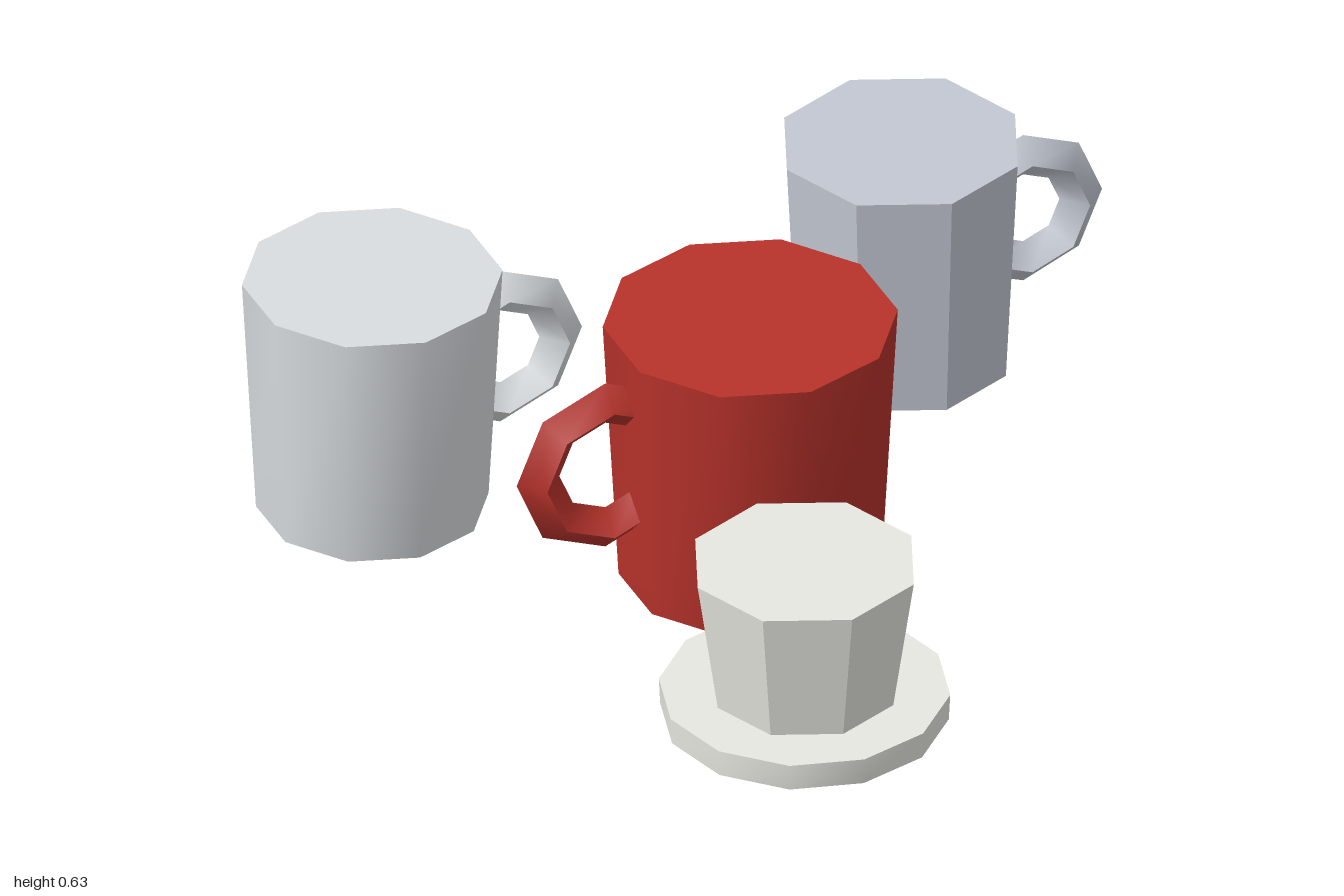
import * as THREE from 'three';
import { toCreasedNormals } from 'three/addons/utils/BufferGeometryUtils.js';

const CREASE = THREE.MathUtils.degToRad(40);

// Mesh with smooth normals across shallow angles and sharp edges elsewhere
function part(name, geometry, material, x, y, z) {
  const mesh = new THREE.Mesh(toCreasedNormals(geometry, CREASE), material);
  mesh.name = name;
  mesh.position.set(x, y, z);
  return mesh;
}

// Tapered solid standing on its base at height y
function body(name, rTop, rBottom, height, sides, material, y = 0) {
  const geometry = new THREE.CylinderGeometry(rTop, rBottom, height, sides);
  return part(name, geometry, material, 0, y + height / 2, 0);
}

// Mug with a diamond-section ring handle; side is +1 or -1 along x
function mug({ name, x, z, rTop, rBottom, height, sides, color, side }) {
  const group = new THREE.Group();
  group.name = name;
  group.position.set(x, 0, z);
  const material = new THREE.MeshStandardMaterial({ color });
  group.add(body(name + 'Body', rTop, rBottom, height, sides, material));
  const ring = new THREE.TorusGeometry(height * 0.25, 0.05, 4, 8);
  group.add(part(name + 'Handle', ring, material, side * rTop * 1.07, height * 0.55, 0));
  return group;
}

export function createModel() {
  const model = new THREE.Group();
  model.name = 'mugsAndCup';

  // Three mugs
  const mugs = [
    { name: 'redMug', x: -0.103, z: 0.004, rTop: 0.317, rBottom: 0.283, height: 0.63, sides: 10, color: 0xb8322b, side: -1 },
    { name: 'paleMug', x: -0.734, z: -0.563, rTop: 0.28, rBottom: 0.25, height: 0.565, sides: 10, color: 0xd9dde0, side: 1 },
    { name: 'blueGreyMug', x: 0.53, z: -0.623, rTop: 0.267, rBottom: 0.24, height: 0.54, sides: 8, color: 0xc3c8d2, side: 1 },
  ];
  for (const m of mugs) model.add(mug(m));

  // Small cup on its saucer
  const cupSet = new THREE.Group();
  cupSet.name = 'cupAndSaucer';
  cupSet.position.set(-0.23, 0, 0.572);
  const china = new THREE.MeshStandardMaterial({ color: 0xe8e8e2 });
  cupSet.add(body('saucer', 0.313, 0.31, 0.062, 12, china));
  cupSet.add(body('cup', 0.25, 0.203, 0.318, 8, china, 0.062));
  model.add(cupSet);

  return model;
}
